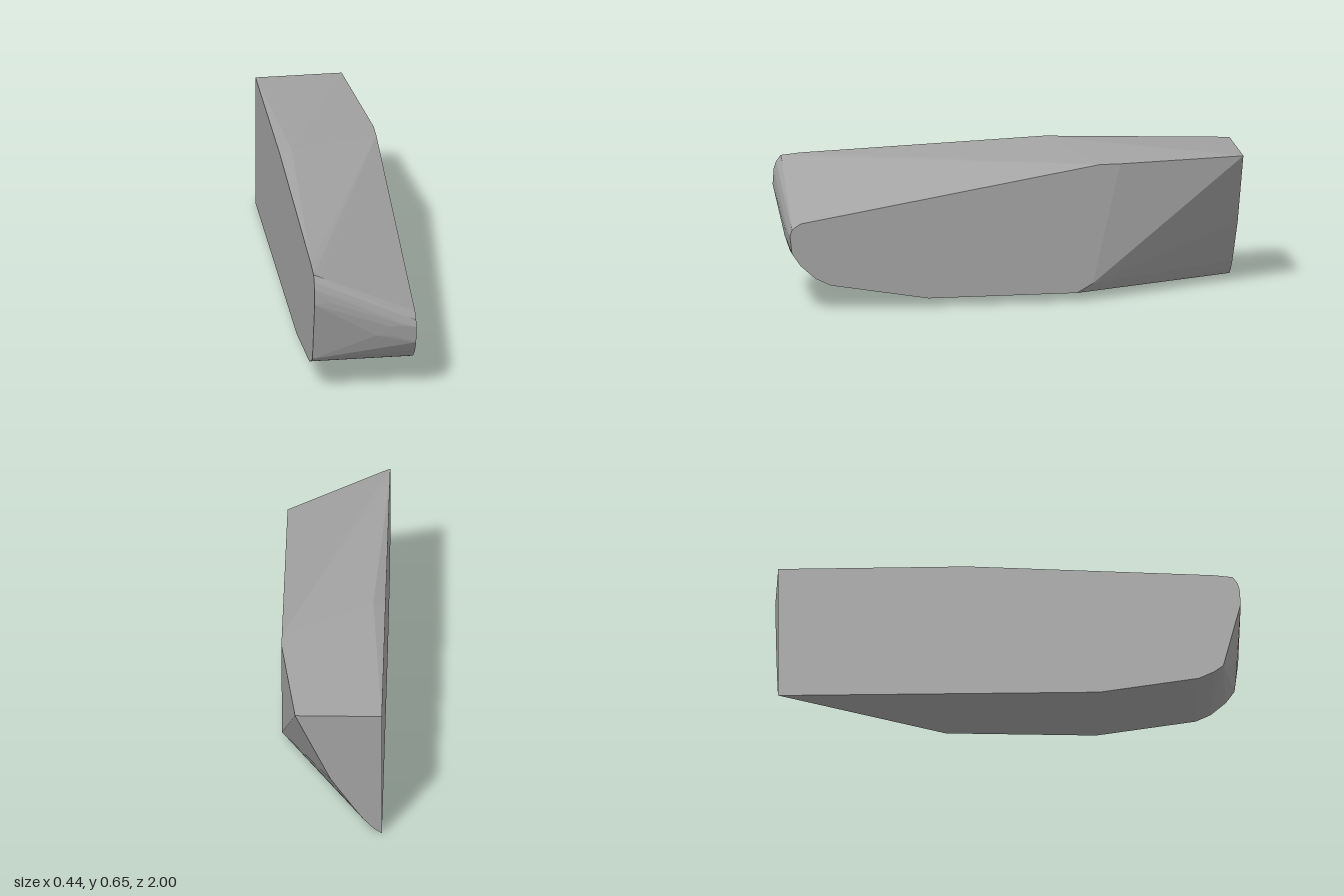
import * as THREE from 'three';
import { ConvexGeometry } from 'three/addons/geometries/ConvexGeometry.js';

const HALF_WIDTH = 0.222;

// Outline of a flat side, as [z, y] pairs
const side = (x, outline) => outline.map(([z, y]) => new THREE.Vector3(x, y, z));

export function createModel() {
  const model = new THREE.Group();
  model.name = 'facetedBlock';
  const grey = new THREE.MeshStandardMaterial({ color: 0xa2a2a2, flatShading: true });
  grey.name = 'stoneGrey';

  // Underside of the nose, shared by both sides
  const chin = [[0.885, 0.145], [0.82, 0.113], [0.39, 0.04]];

  // Tall right side, running the full length
  const rightSide = side(-HALF_WIDTH, [
    [-1, 0.605], [-0.18, 0.63], [0.88, 0.605], [0.965, 0.597], [0.985, 0.57],
    [0.995, 0.54], [1, 0.47], [0.925, 0.175], ...chin, [-1, 0.002],
  ]);

  // Lower left side, cut short at the back
  const leftSide = side(HALF_WIDTH, [
    [-0.45, 0.605], [-0.36, 0.605], [0.95, 0.39], [0.988, 0.365], [0.997, 0.335],
    [0.988, 0.258], [0.95, 0.203], ...chin, [-0.26, 0.04], [-0.33, 0.08],
  ]);

  // Curved edge of the flat back end
  const backEdge = [[0.153, 0.605], [0, 0.28], [-0.095, 0.14], [-0.142, 0.075], [-0.185, 0.028]]
    .map(([x, y]) => new THREE.Vector3(x, y, -1));

  // Roof peak and the small facets of the nose
  const facets = [
    [-0.17, 0.652, -0.18], [-0.195, 0.585, 0.965],
    [-0.155, 0.477, 1], [0.11, 0.345, 1], [0.18, 0.345, 0.999], [0.05, 0.302, 0.992], [0.12, 0.3, 0.994],
  ].map((p) => new THREE.Vector3(...p));

  const block = new THREE.Mesh(
    new ConvexGeometry([...rightSide, ...leftSide, ...backEdge, ...facets]), grey);
  block.name = 'block';
  model.add(block);
  return model;
}
